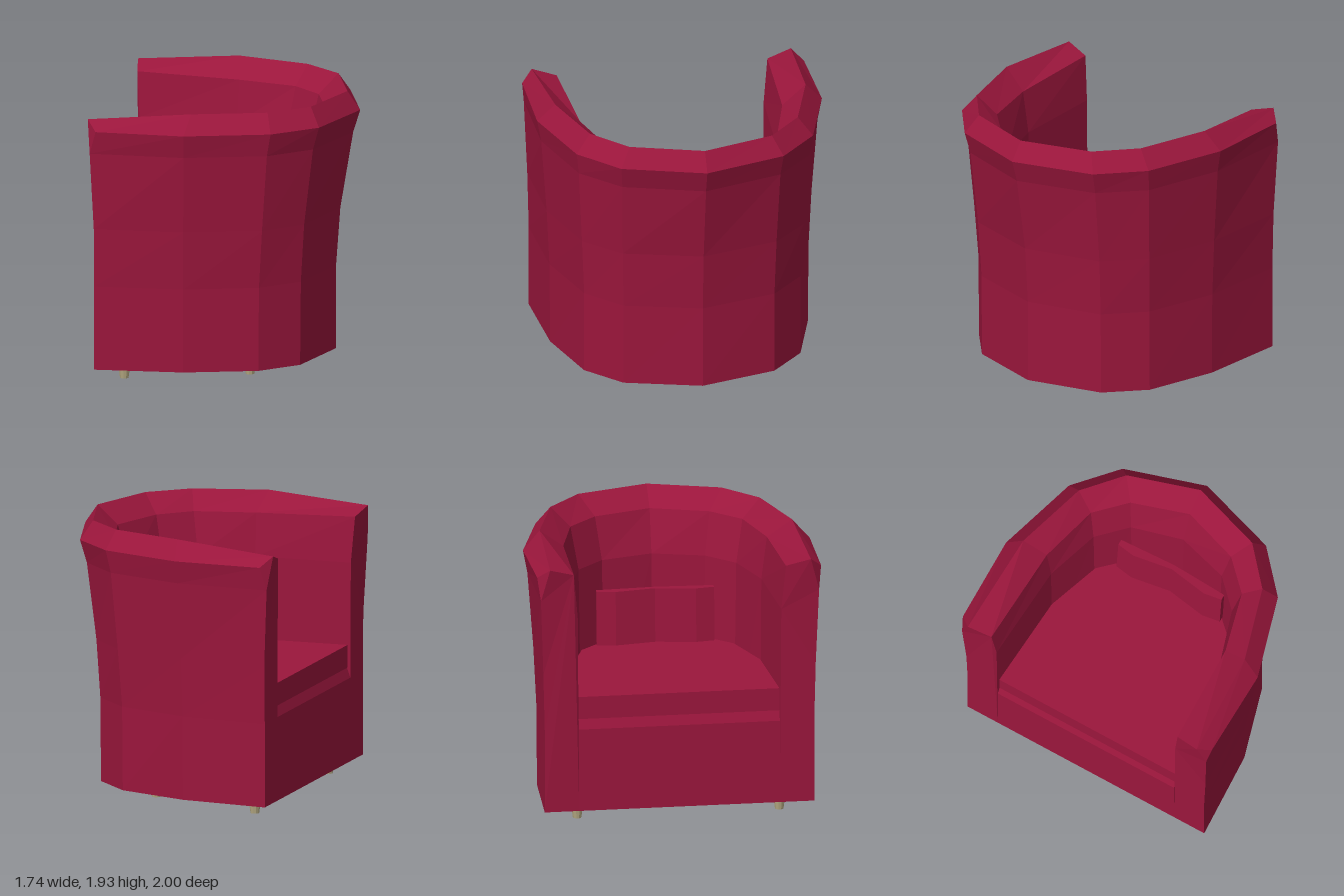
import * as THREE from 'three';

const fabric = new THREE.MeshStandardMaterial({ color: 0x9b163c, flatShading: true });
const wood = new THREE.MeshStandardMaterial({ color: 0xb5a982, flatShading: true });

// Joins neighbouring sections (arrays of [x, y, z]) with quads; caps are fans of points.
function loft(name, sections, { closedPath, closedRing, caps }) {
  const pos = [];
  const tri = (a, b, c) => pos.push(...a, ...b, ...c);
  const n = sections.length, m = sections[0].length;
  for (let i = 0; i < (closedPath ? n : n - 1); i++) {
    for (let j = 0; j < (closedRing ? m : m - 1); j++) {
      const s = sections[i], t = sections[(i + 1) % n], k = (j + 1) % m;
      tri(s[j], t[j], t[k]);
      tri(s[j], t[k], s[k]);
    }
  }
  for (const cap of caps) {
    for (let i = 1; i < cap.length - 1; i++) tri(cap[0], cap[i], cap[i + 1]);
  }
  const geometry = new THREE.BufferGeometry();
  geometry.setAttribute('position', new THREE.Float32BufferAttribute(pos, 3));
  geometry.computeVertexNormals();
  const mesh = new THREE.Mesh(geometry, fabric);
  mesh.name = name;
  return mesh;
}

// Vertical solid whose sections are columns of points around an outline.
function stack(name, columns) {
  const top = columns.map(c => c[c.length - 1]);
  const bottom = columns.map(c => c[0]).reverse();
  return loft(name, columns, { closedPath: true, closedRing: false, caps: [top, bottom] });
}

const flip = ([x, y, z]) => [x, y, -z];
const mirrorHalf = half => [...half, ...half.slice(0, -1).reverse().map(s => s.map(flip))];

// Inner outline of the tub, from the open front to the middle of the back.
const inner = [[-0.82, 0.70], [-0.14, 0.66], [0.24, 0.53], [0.42, 0.34], [0.52, 0]];

// Wraparound arms and back: heights outside, over the ridge and down the inside.
function makeShell() {
  const heights = [0.1, 0.69, 1.1, 1.64, 1.8, 1.93, 1.8, 1.5, 0.1];
  const plan = [
    [[-0.82, 0.94], [-0.82, 0.94], [-0.82, 0.95], [-0.845, 0.97], [-0.80, 0.99], [-0.87, 0.91], [-0.84, 0.74], [-0.82, 0.71]],
    [[-0.20, 0.905], [-0.20, 0.91], [-0.195, 0.93], [-0.185, 0.97], [-0.18, 1.0], [-0.15, 0.88], [-0.12, 0.71], [-0.13, 0.67]],
    [[0.30, 0.76], [0.305, 0.76], [0.33, 0.78], [0.37, 0.81], [0.40, 0.83], [0.36, 0.73], [0.30, 0.60], [0.25, 0.55]],
    [[0.55, 0.53], [0.555, 0.53], [0.58, 0.54], [0.645, 0.555], [0.69, 0.57], [0.62, 0.50], [0.50, 0.40], [0.44, 0.36]],
    [[0.70, 0], [0.70, 0], [0.73, 0], [0.82, 0], [0.87, 0], [0.78, 0], [0.63, 0], [0.54, 0]],
  ];
  const half = plan.map((row, i) => [...row, inner[i]].map(([x, z], j) => [x, heights[j], z]));
  half[0][5][1] = 1.87;
  half[0][6][1] = 1.82;
  // Arm ends, with the folded upper corner as a separate triangle
  const e = half[0];
  const end = [e[7], e[8], e[0], e[1], e[2], e[3], e[5], e[6]];
  const corner = [e[3], e[4], e[5]];
  const caps = [end, corner];
  caps.push(...caps.map(c => c.map(flip).reverse()));
  return loft('armsAndBack', mirrorHalf(half), { closedPath: false, closedRing: true, caps });
}

// Seat base with a sloped ledge along its front
function makeBase() {
  const levels = [[0.1, -0.82], [0.69, -0.82], [0.76, -0.795]];
  const half = inner.map(([x, z], i) => levels.map(([y, front]) => [i ? x : front, y, z]));
  return stack('seatBase', mirrorHalf(half));
}

// Seat cushion filling the tub
function makeSeat() {
  const half = inner.map(([x, z], i) => [0.76, 0.92].map(y => [i ? x : -0.8, y, z]));
  return stack('seatCushion', mirrorHalf(half));
}

// Thin bowed lumbar cushion standing in front of the back
function makeBackCushion() {
  const outline = [[0.41, 0], [0.39, -0.41], [0.35, -0.41], [0.33, -0.28], [0.375, 0], [0.33, 0.28], [0.35, 0.41], [0.39, 0.41]];
  const columns = outline.map(([x, z]) => [[x - 0.025, 0.92, z], [x, 1.3, z]]);
  return stack('backCushion', columns);
}

export function createModel() {
  const chair = new THREE.Group();
  chair.name = 'tubChair';
  chair.add(makeShell(), makeBase(), makeSeat(), makeBackCushion());

  // Tapered feet
  const legGeometry = new THREE.CylinderGeometry(0.044, 0.03, 0.1, 10);
  for (const [x, z] of [[-0.65, 0.72], [-0.65, -0.69], [0.18, 0.44], [0.18, -0.43]]) {
    const leg = new THREE.Mesh(legGeometry, wood);
    leg.name = 'leg';
    leg.position.set(x, 0.05, z);
    chair.add(leg);
  }
  return chair;
}
